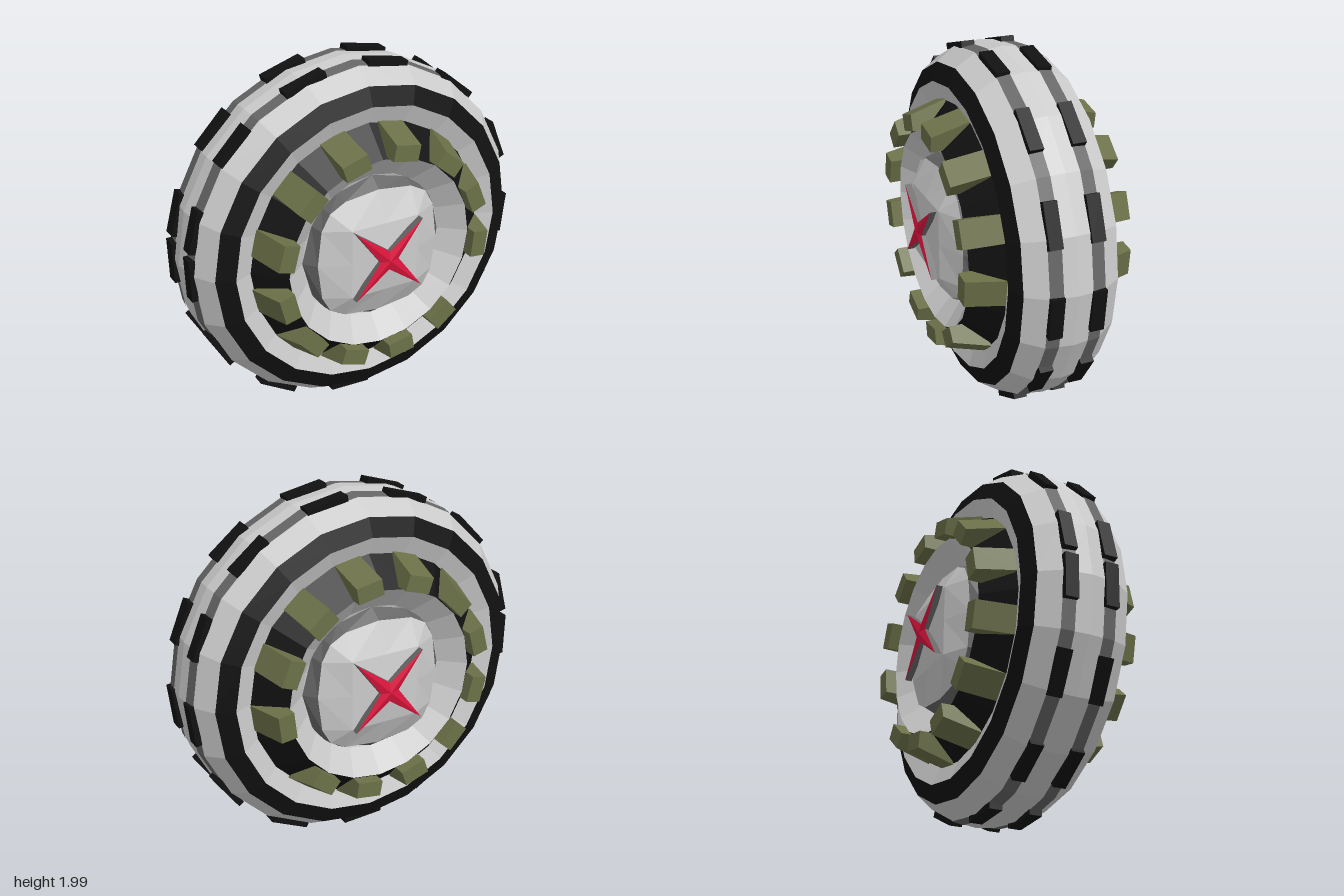
import * as THREE from 'three';

const mat = (color) => new THREE.MeshStandardMaterial({ color, flatShading: true });
const grey = mat(0xcccccc), dark = mat(0x666666), black = mat(0x111111);
const olive = mat(0x6b7048), red = mat(0xdc143c);
const STEP = 0.5; // angle between neighbouring blocks, in radians

function part(name, geometry, material) {
  const mesh = new THREE.Mesh(geometry, material);
  mesh.name = name;
  return mesh;
}

// Ring turned about the z axis from [radius, z] pairs
function ring(name, profile, material) {
  const geo = new THREE.LatheGeometry(profile.map(([r, z]) => new THREE.Vector2(r, z)), 20);
  return part(name, geo.rotateX(Math.PI / 2), material);
}

// Faceted skin between closed loops, listed from the outside in
function loft(loops) {
  const n = loops[0].length, pos = [];
  for (let k = 0; k + 1 < loops.length; k++) {
    for (let i = 0; i < n; i++) {
      const j = (i + 1) % n, a = loops[k], b = loops[k + 1];
      pos.push(...a[i], ...a[j], ...b[j], ...a[i], ...b[j], ...b[i]);
    }
  }
  const geo = new THREE.BufferGeometry();
  geo.setAttribute('position', new THREE.Float32BufferAttribute(pos, 3));
  geo.computeVertexNormals();
  return geo;
}

// Repeats the points of one quarter four times around z
function fourfold(quarter, z) {
  const loop = [];
  for (let q = 0; q < 4; q++) {
    const c = Math.round(Math.cos(q * Math.PI / 2)), s = Math.round(Math.sin(q * Math.PI / 2));
    for (const [x, y] of quarter) loop.push([x * c - y * s, x * s + y * c, z]);
  }
  return loop;
}

// Wedge-shaped block standing on the rim: section in radius and z
function rimBlockGeometry() {
  const shape = new THREE.Shape([[0.55, 0.33], [0.7, 0.26], [0.64, 0.47], [0.55, 0.47]]
    .map(([r, z]) => new THREE.Vector2(r, z)));
  const geo = new THREE.ExtrudeGeometry(shape, { depth: 0.15, bevelEnabled: false });
  return geo.translate(0, 0, -0.075).rotateX(Math.PI / 2);
}

// Everything on one face of the wheel; the back repeats it turned round
function createSide(isBack) {
  const side = new THREE.Group();
  side.name = isBack ? 'backSide' : 'frontSide';
  side.add(
    ring('sidewallBand', [[0.9, 0.26], [0.8, 0.3]], black),
    ring('innerSidewall', [[0.8, 0.3], [0.7, 0.26]], grey),
    ring('rimCone', [[0.7, 0.26], [0.55, 0.41]], black),
    ring('hubBowl', [[0.55, 0.41], [0.42, 0.3], [0.36, 0.28]], grey),
  );

  const blockGeo = rimBlockGeometry();
  for (let i = 0; i < 12; i++) {
    const angle = -0.114 + i * STEP;
    const block = part('rimBlock', blockGeo, olive);
    block.rotation.z = isBack ? Math.PI - angle : angle;
    side.add(block);
  }

  // Faceted hub: round foot, blunt square crown
  const foot = [0, 30, 45, 60].map((d) => [0.42 * Math.cos(d * Math.PI / 180), 0.42 * Math.sin(d * Math.PI / 180)]);
  const edge = fourfold([[0.365, 0], [0.34, 0.2], [0.29, 0.29], [0.2, 0.34]], 0.37);
  const crown = fourfold([[0.2, 0], [0.2, 0.2], [0.2, 0.2], [0.2, 0.2]], 0.445);
  const tip = fourfold([[0, 0], [0, 0], [0, 0], [0, 0]], 0.48);
  side.add(part('hubFoot', loft([fourfold(foot, 0.3), edge]), dark));
  side.add(part('hubDome', loft([edge, crown, tip]), grey));

  // Four-pointed star on the hub: dark walls and a shallow peaked top
  const star = (z) => fourfold([[0.055, 0], [0.2, 0.2]], z);
  const centre = (z) => fourfold([[0, 0], [0, 0]], z);
  side.add(part('starWall', loft([centre(0.455), star(0.455), star(0.492)]), dark));
  side.add(part('starFace', loft([star(0.492), centre(0.507)]), red));

  if (isBack) side.rotation.y = Math.PI;
  return side;
}

export function createModel() {
  const wheel = new THREE.Group();
  wheel.name = 'wheel';

  // Tyre tread surface with two dark grooves
  wheel.add(ring('tyre', [[0.9, -0.26], [0.972, -0.15], [0.992, 0], [0.972, 0.15], [0.9, 0.26]], grey));
  wheel.add(ring('frontTreadStripe', [[0.986, 0.08], [0.976, 0.152]], dark));
  wheel.add(ring('backTreadStripe', [[0.976, -0.152], [0.986, -0.08]], dark));

  // Tread blocks in two rows
  const treadGeo = new THREE.BoxGeometry(0.035, 0.24, 0.075);
  for (let i = 0; i < 13; i++) {
    const angle = 2.886 - i * STEP;
    for (const z of [-0.115, 0.115]) {
      const block = part('treadBlock', treadGeo, black);
      block.position.set(0.974 * Math.cos(angle), 0.974 * Math.sin(angle), z);
      block.rotation.z = angle;
      wheel.add(block);
    }
  }

  wheel.add(createSide(false), createSide(true));
  wheel.position.y = 1;
  const model = new THREE.Group();
  model.add(wheel);
  return model;
}
